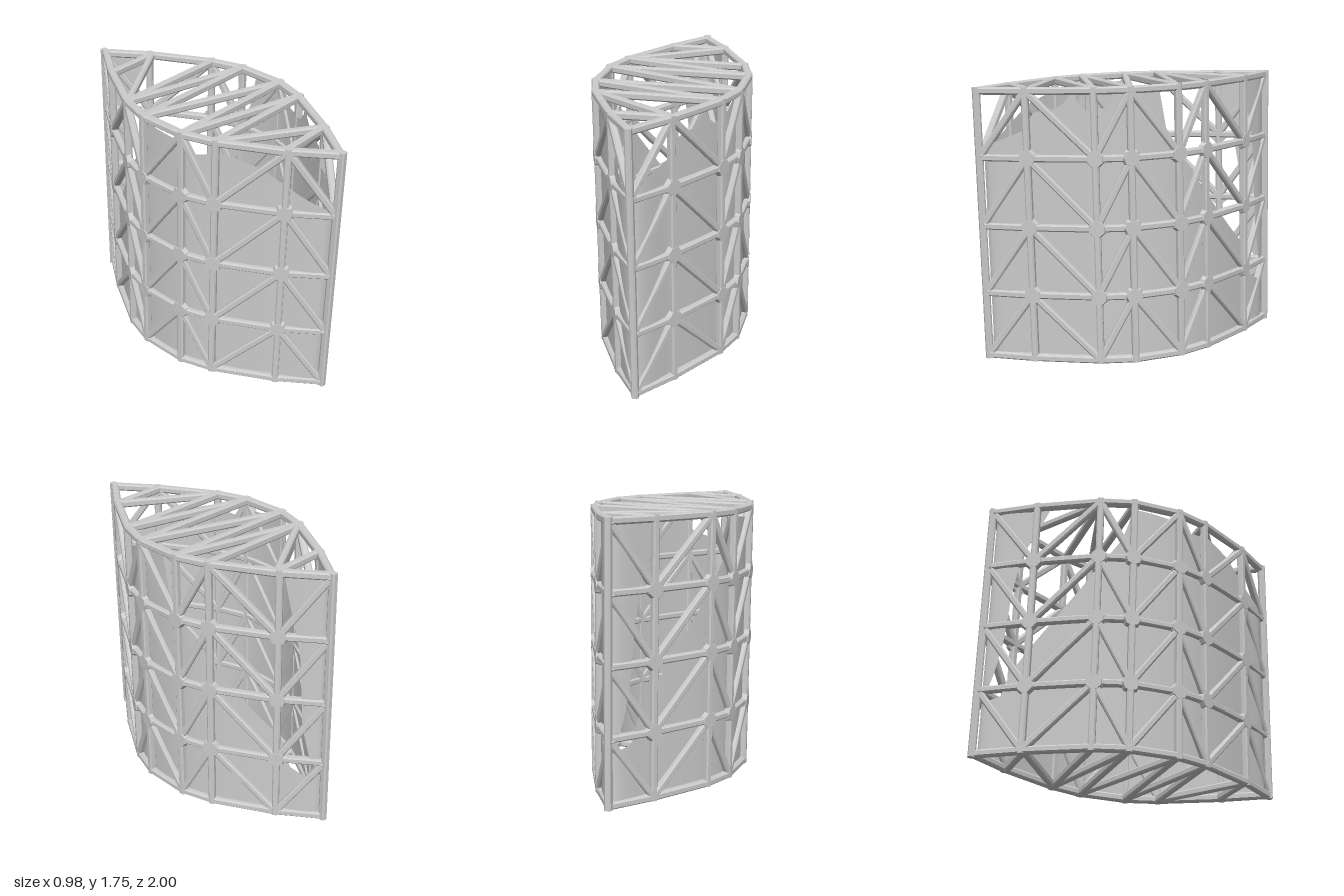
import * as THREE from 'three';

const H = 1.71, ROWS = 4, HALF = 0.021, DEPTH = 0.045;

// Leaf-shaped plan, [x, z]; both sides run from the front tip to the back tip
const RIGHT = [[0.15, 0.98], [0.3, 0.69], [0.455, 0.3], [0.49, 0.08], [0.44, -0.23], [0.34, -0.43], [0.08, -0.76], [-0.15, -0.98]];
const LEFT = RIGHT.map(([x, z]) => [-x, -z]).reverse();
const LOOP = [...RIGHT, ...LEFT.slice(1, -1).reverse()];

const material = new THREE.MeshStandardMaterial({ color: 0xcccccc, flatShading: true });
const sheetMaterial = new THREE.MeshStandardMaterial({ color: 0xcccccc, side: THREE.DoubleSide });

// Chamfered strut section; its outer flat lies on the surface, the rest goes inward
const SECTION = new THREE.Shape([[-0.6, 0], [-1, -0.4], [-1, -1.7], [-0.6, -2.14], [0.6, -2.14], [1, -1.7], [1, -0.4], [0.6, 0]]
  .map(([x, y]) => new THREE.Vector2(x * HALF, y * DEPTH / 2.14)));

const at = ([x, z], y) => new THREE.Vector3(x, y, z);

// Horizontal direction square to the line p-q, pointing out of the plan
function outwardOf(p, q) {
  const n = new THREE.Vector3(q[1] - p[1], 0, p[0] - q[0]).normalize();
  return n.x * (p[0] + q[0]) + n.z * (p[1] + q[1]) < 0 ? n.negate() : n;
}

function strut(name, a, b, outward) {
  const dir = b.clone().sub(a);
  const length = dir.length();
  dir.normalize();
  const normal = outward.clone().addScaledVector(dir, -outward.dot(dir)).normalize();
  const side = normal.clone().cross(dir);
  const geometry = new THREE.ExtrudeGeometry(SECTION, { depth: length, bevelEnabled: false });
  geometry.applyMatrix4(new THREE.Matrix4().makeBasis(side, normal, dir).setPosition(a));
  const mesh = new THREE.Mesh(geometry, material);
  mesh.name = name;
  return mesh;
}

// Flat plate where diagonals meet
function hub(p, outward) {
  const mesh = new THREE.Mesh(new THREE.CylinderGeometry(0.05, 0.06, 0.03, 8), material);
  mesh.name = 'hub';
  mesh.quaternion.setFromUnitVectors(new THREE.Vector3(0, 1, 0), outward);
  mesh.position.copy(p).addScaledVector(outward, -0.014);
  return mesh;
}

// Side lattice: rails, posts and diagonals that alternate around the loop
function sideLattice() {
  const group = new THREE.Group();
  group.name = 'sideLattice';
  const count = LOOP.length;
  const level = r => THREE.MathUtils.clamp((r / ROWS - 0.5) * H, -H / 2 + HALF, H / 2 - HALF);
  const isTip = i => i % 7 === 0;
  // Rails and diagonals stop just short of the tip posts
  const railEnd = (i, j, y) => at(LOOP[i], y).lerp(at(LOOP[j], y), isTip(i) ? 0.06 : 0);
  LOOP.forEach((p, i) => {
    const j = (i + 1) % count;
    const faceOut = outwardOf(p, LOOP[j]);
    const postOut = isTip(i)
      ? new THREE.Vector3(p[0], 0, p[1]).normalize()
      : outwardOf(LOOP[(i + count - 1) % count], LOOP[j]);
    const [low, high] = i % 2 ? [j, i] : [i, j];
    group.add(strut('post', at(p, -H / 2), at(p, H / 2), postOut));
    for (let r = 0; r <= ROWS; r++) {
      group.add(strut('rail', railEnd(i, j, level(r)), railEnd(j, i, level(r)), faceOut));
      if (r < ROWS) group.add(strut('diagonal', railEnd(low, high, level(r)), railEnd(high, low, level(r + 1)), faceOut));
      if (!isTip(i) && r > 0 && r < ROWS) group.add(hub(at(p, level(r)), postOut));
    }
  });
  return group;
}

// End lattice: cross bars between the sides with one diagonal per bay
function endLattice(name, y, flips) {
  const group = new THREE.Group();
  group.name = name;
  const out = new THREE.Vector3(0, Math.sign(y), 0);
  const inset = ([x, z]) => at([x * 0.94, z * 0.965], y);
  const R = RIGHT.map(inset), L = LEFT.map(inset);
  for (let i = 1; i < 7; i++) group.add(strut('crossBar', R[i], L[i], out));
  flips.forEach((flip, k) => {
    const i = k + 1;
    group.add(flip ? strut('endDiagonal', L[i], R[i + 1], out) : strut('endDiagonal', R[i], L[i + 1], out));
  });
  // Rim flange lying flat inside the outline
  LOOP.forEach((p, i) => group.add(strut('rim', inset(p), inset(LOOP[(i + 1) % LOOP.length]), out)));
  return group;
}

// Linear lookup in a list of [z, y] with falling z
function lookup(profile, z) {
  if (z >= profile[0][0]) return profile[0][1];
  for (let i = 1; i < profile.length; i++) {
    const [z0, y0] = profile[i - 1], [z1, y1] = profile[i];
    if (z >= z1) return y0 + (y1 - y0) * (z0 - z) / (z0 - z1);
  }
  return profile[profile.length - 1][1];
}

// Smooth closed plan of the inner skin, rounded at the tips, split into two sides
const skinCurve = new THREE.CatmullRomCurve3(LOOP.map(([x, z]) => at([x * 0.92, z * 0.945], 0)), true);
const skinPoints = skinCurve.getSpacedPoints(800);
const RIGHT_SKIN = skinPoints.slice(0, 401), LEFT_SKIN = skinPoints.slice(400).reverse();

// Thin curved sheet following one side, between two ragged edges
function sheet(name, side, low, high, zStart) {
  const line = side.filter(p => p.z <= zStart);
  const columns = 110, geometry = new THREE.PlaneGeometry(1, 1, columns, 1);
  const pos = geometry.attributes.position;
  for (let i = 0; i < pos.count; i++) {
    const p = line[Math.round((i % (columns + 1)) / columns * (line.length - 1))];
    pos.setXYZ(i, p.x, lookup(i > columns ? low : high, p.z) - 0.88, p.z);
  }
  geometry.computeVertexNormals();
  const mesh = new THREE.Mesh(geometry, sheetMaterial);
  mesh.name = name;
  return mesh;
}

export function createModel() {
  const model = new THREE.Group();
  model.name = 'latticeShell';
  const body = new THREE.Group();
  body.name = 'body';
  body.add(sideLattice());
  body.add(endLattice('topLattice', H / 2, [0, 0, 0, 0, 1]));
  body.add(endLattice('bottomLattice', -H / 2, [1, 1, 1, 1, 0]));

  // Broken inner skin: ragged top edge, and a torn strip wrapping the back tip
  const floor = [[0, 0.045]], roof = [[0, 1.71]];
  const rightTop = [[0.95, 1.33], [0.88, 1.4], [0.8, 1.43], [0.68, 1.48], [0.64, 1.58], [0.5, 1.61], [0.45, 1.65], [0.41, 1.71], [0.38, 1.63], [0.33, 1.59], [0.22, 1.61],
    [0.12, 1.71], [-0.11, 1.71], [-0.14, 1.48], [-0.28, 1.25], [-0.45, 1.0], [-0.62, 0.77], [-0.76, 0.6], [-0.8, 0.4], [-0.88, 0.34], [-0.95, 0.36]];
  const leftTop = [[0.95, 1.33], [0.8, 1.43], [0.62, 1.58], [0.45, 1.64], [0.3, 1.6], [0.15, 1.66], [-0.08, 1.68],
    [-0.15, 1.45], [-0.32, 1.2], [-0.5, 0.95], [-0.68, 0.7], [-0.78, 0.54], [-0.82, 0.4], [-0.95, 0.36]];
  const rightStripLow = [[-0.76, 1.69], [-0.79, 1.5], [-0.84, 1.2], [-0.86, 0.7], [-0.9, 0.45], [-0.95, 0.36]];
  const leftStripLow = [[-0.6, 1.69], [-0.68, 1.52], [-0.76, 1.35], [-0.8, 1.1], [-0.83, 0.75], [-0.87, 0.55], [-0.92, 0.38], [-0.95, 0.36]];
  body.add(sheet('rightSkin', RIGHT_SKIN, floor, rightTop, 1));
  body.add(sheet('leftSkin', LEFT_SKIN, floor, leftTop, 1));
  body.add(sheet('rightSkinStrip', RIGHT_SKIN, rightStripLow, roof, -0.76));
  body.add(sheet('leftSkinStrip', LEFT_SKIN, leftStripLow, roof, -0.6));

  // Slight forward lean
  body.rotation.x = 0.023;
  body.position.y = 0.88;
  model.add(body);
  return model;
}
